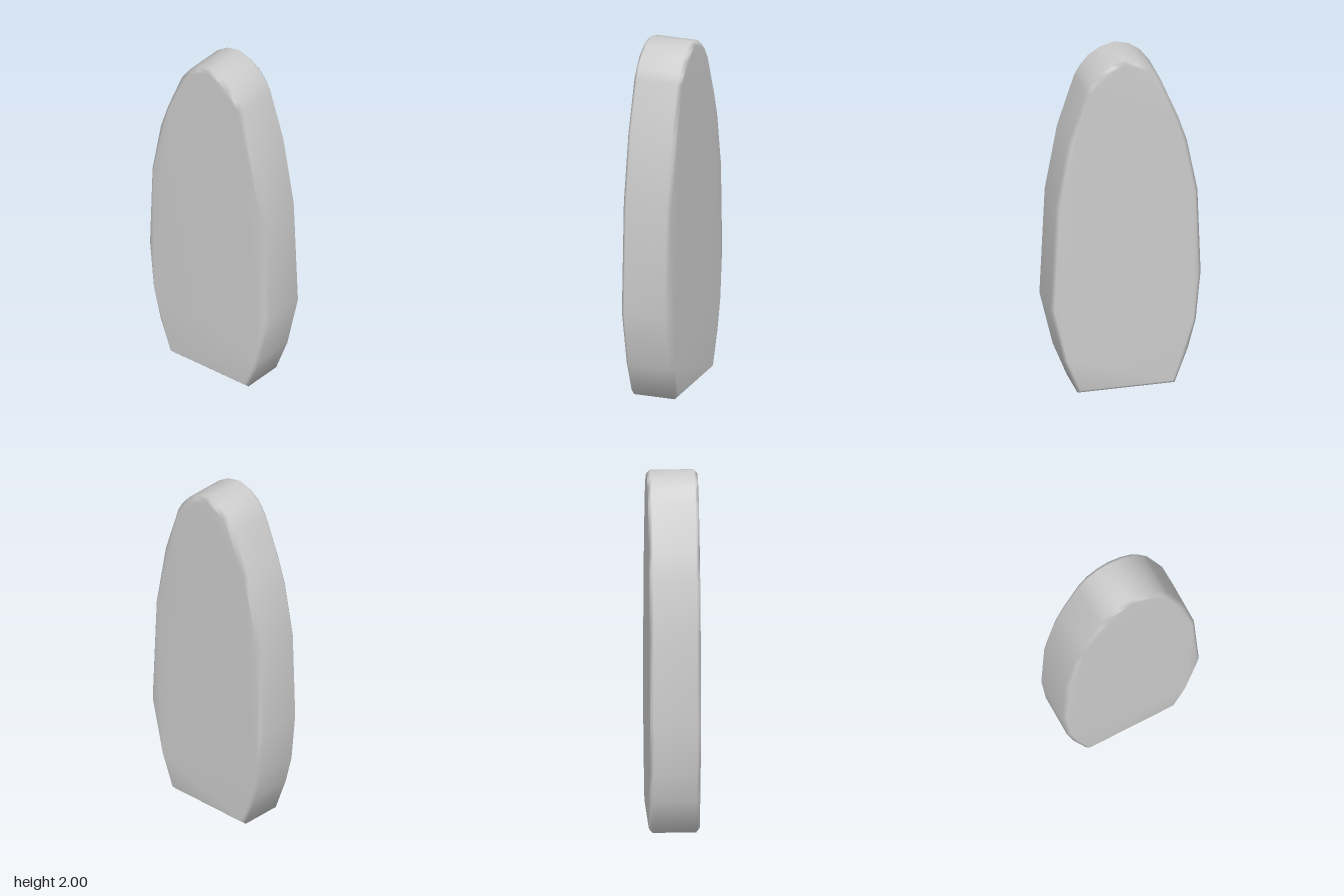
import * as THREE from 'three';
import { mergeVertices } from 'three/addons/utils/BufferGeometryUtils.js';

const DEPTH = 0.28;
const BEVEL = 0.02;

// Slightly uneven outline, counter-clockwise from the lower left corner
const OUTLINE = [
  [-0.28, 0], [0.27, 0], [0.35, 0.2], [0.425, 0.52], [0.395, 1.15], [0.325, 1.53],
  [0.23, 1.82], [0.2, 1.875], [0.15, 1.935], [0.08, 1.98], [0, 2],
  [-0.08, 1.98], [-0.145, 1.935], [-0.2, 1.86], [-0.3, 1.62], [-0.35, 1.47],
  [-0.41, 1.16], [-0.428, 0.66], [-0.4, 0.37], [-0.355, 0.2],
];

export function createModel() {
  const group = new THREE.Group();
  group.name = 'standingStone';

  // Slab with a narrow chamfer cut inwards from the outline
  const shape = new THREE.Shape(OUTLINE.map(([x, y]) => new THREE.Vector2(x, y)));
  let geometry = new THREE.ExtrudeGeometry(shape, {
    depth: DEPTH - 2 * BEVEL,
    bevelEnabled: true,
    bevelSegments: 1,
    bevelThickness: BEVEL,
    bevelSize: BEVEL,
    bevelOffset: -BEVEL,
  });
  geometry.translate(0, 0, BEVEL - DEPTH / 2);

  // Shared vertices give soft shading across the chamfers
  geometry.deleteAttribute('uv');
  geometry.deleteAttribute('normal');
  geometry = mergeVertices(geometry, 1e-4);
  geometry.computeVertexNormals();

  const slab = new THREE.Mesh(geometry, new THREE.MeshStandardMaterial({ color: 0xcccccc }));
  slab.name = 'slab';
  group.add(slab);
  return group;
}
